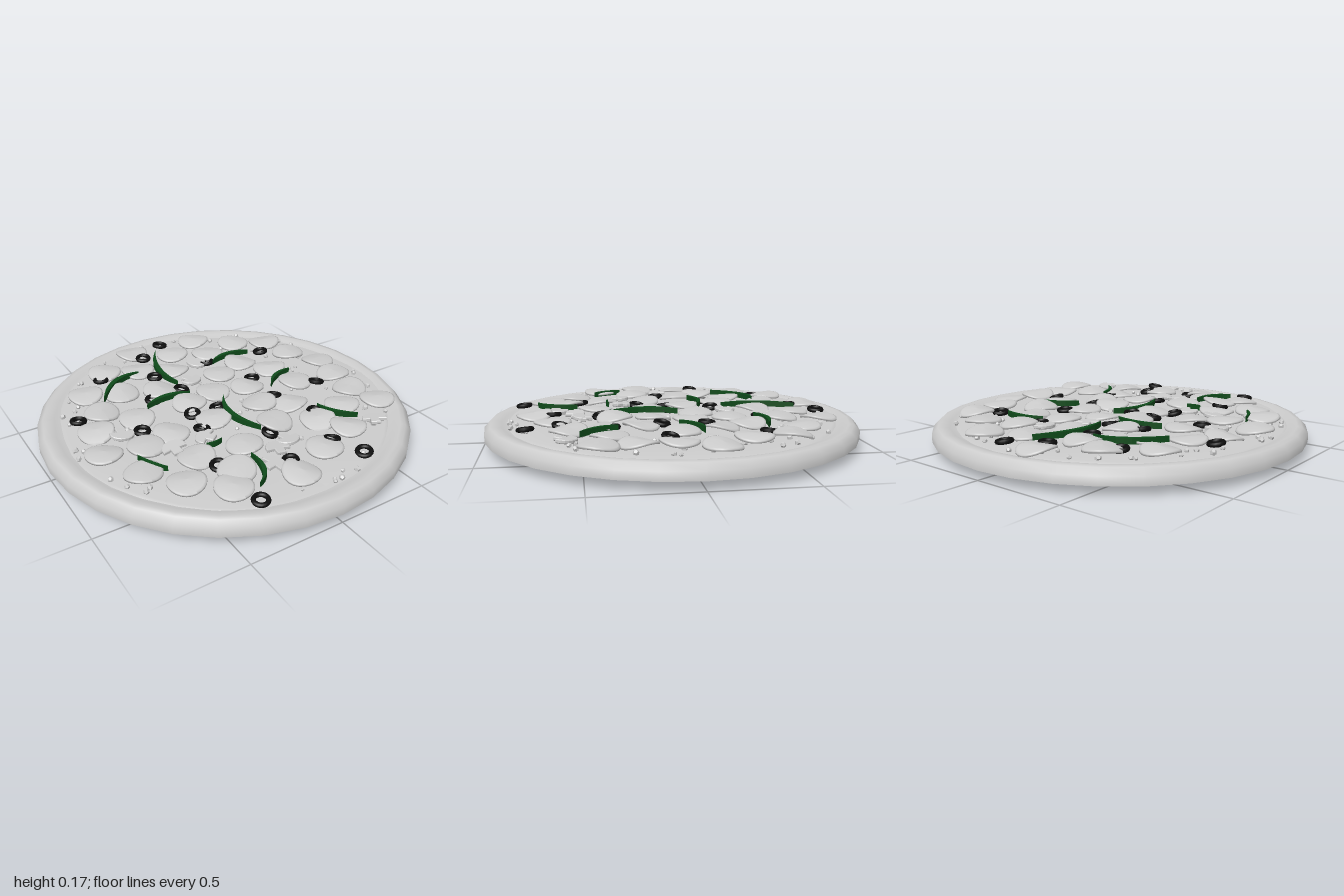
import * as THREE from 'three';

const plain = new THREE.MeshStandardMaterial({ color: 0xcccccc, side: THREE.DoubleSide });
const black = new THREE.MeshStandardMaterial({ color: 0x0d0d0d });
const green = new THREE.MeshStandardMaterial({ color: 0x0f4a1a });

let seed = 7;
const rand = (a = 0, b = 1) => {
  seed = (seed * 16807) % 2147483647;
  return a + (b - a) * seed / 2147483647;
};
const lathe = (pts, sides) => new THREE.LatheGeometry(pts.map(p => new THREE.Vector2(...p)), sides);

// Move every vertex by a rule
function bend(geometry, rule) {
  const p = geometry.attributes.position, v = new THREE.Vector3();
  for (let i = 0; i < p.count; i++) {
    rule(v.fromBufferAttribute(p, i));
    p.setXYZ(i, v.x, v.y, v.z);
  }
  geometry.computeVertexNormals();
  return geometry;
}

// Topping positions as x, z pairs
const slices = [
  -.17, -.80, .24, -.75, -.42, -.64, .04, -.66, .44, -.59, .61, -.49, -.61, -.47, -.24, -.57, .22, -.54,
  -.43, -.38, -.06, -.47, -.24, -.29, .15, -.29, .33, -.34, .65, -.29, -.61, -.25, -.48, -.09, -.17, -.08,
  .01, -.13, .20, -.07, .43, -.18, .75, -.12, .47, .02, .71, .07, -.71, -.09, -.76, .12, -.56, .17,
  -.39, .12, -.14, .12, .15, .12, .30, .20, .68, .25, -.67, .36, -.39, .37, -.14, .41, .11, .32,
  .32, .41, .52, .37, .72, .43, -.53, .52, -.37, .67, -.29, .57, -.04, .74, .18, .64, .40, .56];
const olives = [
  .03, -.81, -.14, -.70, -.19, -.45, -.32, -.22, -.13, -.24, .28, -.14, .52, -.40, -.75, -.23, -.51, .03,
  -.06, .03, -.21, .02, -.34, .49, .03, .39, -.32, .81, .32, .77, .26, .60, .27, .09, .57, .09,
  -.03, .64, -.24, .17, .16, -.45, -.47, -.58, .35, .35];
const mushrooms = [
  .10, -.48, -.03, -.30, -.61, .01, -.45, .25, -.27, .25, -.11, .62, -.02, .52, .57, .57, .07, .49];
// Pepper strips: start, middle, end
const strips = [
  [-.05, -.71, -.14, -.50, -.12, -.30], [-.26, -.52, -.42, -.49, -.56, -.33],
  [.18, -.41, .30, -.45, .44, -.42], [-.39, -.15, -.26, -.19, -.12, -.16],
  [.02, -.03, -.05, .14, .01, .34], [-.64, .24, -.61, .33, -.56, .40],
  [.39, .32, .42, .42, .51, .51], [-.17, .51, -.19, .65, -.27, .73],
  [.51, -.09, .40, -.07, .31, .01], [-.31, .33, -.27, .34, -.22, .33]];

const flatExtrude = (shape, depth, bevel) => new THREE.ExtrudeGeometry(shape, {
  depth, curveSegments: 10, bevelEnabled: bevel > 0, bevelSize: bevel, bevelThickness: bevel, bevelSegments: 1
}).rotateX(Math.PI / 2);

// Thin, slightly domed and warped disc
function sliceGeometry() {
  const R = .095, a = rand(0, 6.28), warp = rand(.004, .012);
  const g = lathe([[0, -.003], [.06, -.004], [R, -.009], [R, .001], [.085, .005], [.05, .011], [0, .014]], 24);
  return bend(g, v => {
    const r = Math.hypot(v.x, v.z);
    v.y += warp * (r / R) ** 2 * Math.cos(2 * Math.atan2(v.z, v.x) + a);
  });
}

// Crescent with pointed ends, curving through its middle point
function stripGeometry([ax, az, mx, mz, bx, bz]) {
  const len = Math.hypot(bx - ax, bz - az), w = Math.min(.028, len * .09);
  const nx = -(bz - az) / len * w, nz = (bx - ax) / len * w;
  const cx = 2 * mx - (ax + bx) / 2, cz = 2 * mz - (az + bz) / 2;
  const s = new THREE.Shape();
  s.moveTo(ax, az);
  s.quadraticCurveTo(cx + nx, cz + nz, bx, bz);
  s.quadraticCurveTo(cx - nx, cz - nz, ax, az);
  return flatExtrude(s, .03, 0);
}

// Cap and stem outline of a cut mushroom
function mushroomGeometry() {
  const s = new THREE.Shape();
  s.moveTo(-.022, -.05);
  s.lineTo(.022, -.05);
  s.lineTo(.02, -.012);
  s.lineTo(.06, -.016);
  s.bezierCurveTo(.07, .065, -.07, .065, -.06, -.016);
  s.lineTo(-.02, -.012);
  return flatExtrude(s, .012, .004);
}

export function createModel() {
  const model = new THREE.Group();
  const add = (name, geometry, material = plain, parent = model) => {
    const mesh = new THREE.Mesh(geometry, material);
    mesh.name = name;
    parent.add(mesh);
    return mesh;
  };
  const scatter = (name, list, make) => {
    const group = new THREE.Group();
    group.name = name;
    for (let i = 0; i < list.length; i += 2) make(group, list[i], list[i + 1], i / 2);
    model.add(group);
  };

  // Sagging underside and raised rim
  add('base', lathe([[0, 0], [.25, .004], [.5, .014], [.75, .027], [1, .045]], 32));
  add('crust', lathe([[1, .045], [1, .088], [.97, .119], [.945, .123], [.91, .115], [.87, .1], [.8, .095]], 32));

  // Cheese layer with an uneven edge
  add('cheese', bend(lathe([[.9, .098], [.875, .116], [.7, .117], [.45, .119], [.2, .12], [0, .121]], 48), v => {
    const r = Math.hypot(v.x, v.z), t = Math.atan2(v.z, v.x);
    const k = 1 + .018 * r * (Math.sin(3 * t + 1) + .6 * Math.sin(7 * t));
    v.x *= k;
    v.z *= k;
    v.y += .003 * Math.sin(11 * v.x) * Math.cos(9 * v.z);
  }));

  scatter('pepperoni', slices, (group, x, z, i) => {
    const m = add('pepperoniSlice', sliceGeometry(), plain, group);
    m.position.set(x, .137 + .005 * (i % 3), z);
    m.rotation.set(rand(-.1, .1), 0, rand(-.1, .1));
  });

  const ring = new THREE.TorusGeometry(.034, .012, 8, 18).rotateX(Math.PI / 2);
  scatter('olives', olives, (group, x, z) => {
    const m = add('oliveRing', ring, black, group);
    m.position.set(x, .137, z);
    m.rotation.set(rand(-.2, .2), 0, rand(-.2, .2));
  });

  const cut = mushroomGeometry();
  scatter('mushrooms', mushrooms, (group, x, z) => {
    const m = add('mushroomSlice', cut, plain, group);
    m.position.set(x, .144, z);
    m.rotation.set(rand(-.1, .1), rand(0, 6.28), rand(-.1, .1));
  });

  const peppers = new THREE.Group();
  peppers.name = 'peppers';
  model.add(peppers);
  strips.forEach(s => { add('pepperStrip', stripGeometry(s), green, peppers).position.y = .162; });

  // Crumbs, mostly near the rim
  const crumb = new THREE.DodecahedronGeometry(.014, 0);
  const spots = [];
  for (let i = 0; i < 110; i++) {
    const t = rand(0, 6.28), r = i < 60 ? rand(.76, .88) : rand(.1, .76);
    spots.push(r * Math.cos(t), r * Math.sin(t));
  }
  scatter('crumbs', spots, (group, x, z) => {
    const m = add('crumb', crumb, plain, group);
    m.position.set(x, .124, z);
    m.rotation.set(rand(0, 3), rand(0, 3), 0);
    m.scale.setScalar(rand(.7, 1.2));
  });

  return model;
}
